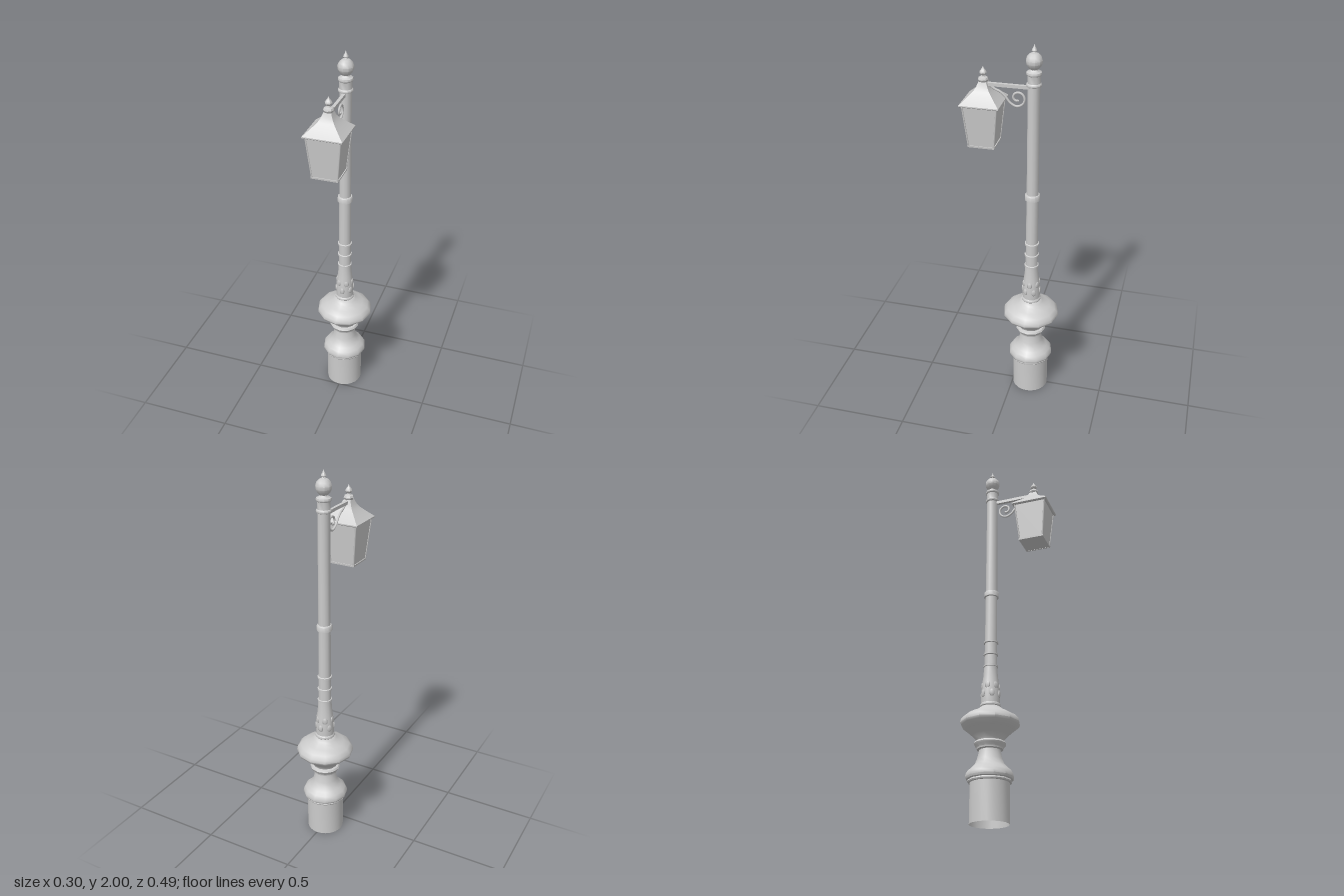
import * as THREE from 'three';
import { toCreasedNormals } from 'three/addons/utils/BufferGeometryUtils.js';

const POST_Z = -0.097;
const LAMP_Z = 0.148;

export function createModel() {
  const model = new THREE.Group();
  model.name = 'streetLamp';
  const grey = new THREE.MeshStandardMaterial({ color: 0xcccccc });
  const openGrey = new THREE.MeshStandardMaterial({ color: 0xcccccc, side: THREE.DoubleSide });

  function add(parent, name, geometry, x = 0, y = 0, z = 0) {
    const mesh = new THREE.Mesh(geometry, grey);
    mesh.name = name;
    mesh.position.set(x, y, z);
    parent.add(mesh);
    return mesh;
  }

  // Turned part from [radius, height] pairs, bottom to top; its ends may be open
  function turned(parent, name, profile, sides = 12) {
    const points = profile.map(([r, y]) => new THREE.Vector2(r, y));
    const mesh = add(parent, name, toCreasedNormals(new THREE.LatheGeometry(points, sides), 0.7));
    mesh.material = openGrey;
    return mesh;
  }

  // Square part from [half width, height] pairs, bottom to top
  function square(parent, name, profile) {
    const points = profile.map(([h, y]) => new THREE.Vector2(h * Math.SQRT2, y));
    const mesh = add(parent, name,
      toCreasedNormals(new THREE.LatheGeometry(points, 4, Math.PI / 4), 0.3));
    mesh.material = openGrey;
    return mesh;
  }

  // Post
  const post = new THREE.Group();
  post.name = 'post';
  post.position.z = POST_Z;
  model.add(post);

  turned(post, 'baseDrum', [[0.097, 0], [0.097, 0.2]], 24);
  turned(post, 'lowerPedestal', [
    [0.095, 0.195], [0.107, 0.197], [0.11, 0.203], [0.107, 0.21], [0.116, 0.213],
    [0.12, 0.223], [0.118, 0.238], [0.108, 0.254], [0.09, 0.27], [0.074, 0.288],
    [0.064, 0.312], [0.056, 0.345], [0.054, 0.36],
  ]);
  turned(post, 'waistMoulding', [
    [0.054, 0.358], [0.066, 0.362], [0.067, 0.37], [0.077, 0.382],
    [0.081, 0.391], [0.076, 0.4], [0.064, 0.403],
  ]);
  turned(post, 'upperBulb', [
    [0.064, 0.4], [0.068, 0.412], [0.088, 0.433], [0.118, 0.46], [0.145, 0.482],
    [0.151, 0.494], [0.147, 0.511], [0.131, 0.529], [0.102, 0.546],
    [0.075, 0.559], [0.062, 0.57], [0.05, 0.58], [0.04, 0.582],
  ]);
  turned(post, 'shaftFoot', [
    [0.046, 0.578], [0.052, 0.584], [0.052, 0.593], [0.047, 0.599], [0.048, 0.64],
    [0.046, 0.68], [0.042, 0.71], [0.037, 0.75], [0.034, 0.8],
  ]);
  turned(post, 'shaft', [[0.033, 0.79], [0.032, 0.94], [0.031, 1.2], [0.03, 1.83]]);

  // Collars
  for (const y of [0.8, 0.865, 0.933]) {
    turned(post, 'shaftRing', [
      [0.031, y - 0.007], [0.038, y - 0.004], [0.038, y + 0.004], [0.031, y + 0.007],
    ]);
  }
  turned(post, 'middleSleeve', [
    [0.03, 1.194], [0.039, 1.196], [0.039, 1.222], [0.036, 1.226], [0.03, 1.227],
  ]);

  // Leaf ornament around the shaft foot, two staggered rows
  for (let row = 0; row < 2; row++) {
    for (let i = 0; i < 6; i++) {
      const a = (i + row * 0.5) * Math.PI / 3;
      const r = 0.047 - row * 0.004;
      const leaf = add(post, 'leaf', new THREE.SphereGeometry(1, 6, 5),
        Math.sin(a) * r, 0.645 + row * 0.043, Math.cos(a) * r);
      leaf.scale.set(0.014, 0.02, 0.005);
      leaf.rotation.y = a;
    }
  }

  // Post head
  turned(post, 'capital', [
    [0.03, 1.795], [0.036, 1.798], [0.038, 1.805], [0.036, 1.811], [0.032, 1.814],
    [0.032, 1.85], [0.036, 1.853], [0.038, 1.86], [0.036, 1.867], [0.028, 1.871],
    [0.02, 1.877], [0.018, 1.885],
  ]);
  turned(post, 'ballFinial', [
    [0.018, 1.879], [0.03, 1.891], [0.039, 1.908], [0.04, 1.923], [0.034, 1.941],
    [0.021, 1.954], [0.01, 1.958], [0.008, 1.963], [0.013, 1.968], [0.011, 1.975],
    [0.005, 1.985], [0, 2],
  ], 10);

  // Bracket arm
  const bracket = new THREE.Group();
  bracket.name = 'bracket';
  model.add(bracket);
  const armLength = LAMP_Z - POST_Z - 0.01;
  add(bracket, 'arm', new THREE.BoxGeometry(0.016, 0.016, armLength),
    0, 1.788, (LAMP_Z + POST_Z) / 2);

  // Scroll: a sweep under the arm that winds into a spiral
  const path = [[0.115, 1.782], [0.092, 1.766], [0.066, 1.755], [0.04, 1.732], [0.018, 1.704]]
    .map(([z, y]) => new THREE.Vector3(0, y, z));
  for (let i = 0; i <= 16; i++) {
    const a = -Math.PI / 2 - 0.2 + i * 0.43;
    const r = 0.042 * (1 - i / 22);
    path.push(new THREE.Vector3(0, 1.73 + Math.sin(a) * r, -0.018 - Math.cos(a) * r));
  }
  add(bracket, 'scroll',
    new THREE.TubeGeometry(new THREE.CatmullRomCurve3(path), 80, 0.006, 6)).material = openGrey;

  // Lantern
  const lantern = new THREE.Group();
  lantern.name = 'lantern';
  lantern.position.z = LAMP_Z;
  model.add(lantern);

  square(lantern, 'glassBody', [[0, 1.483], [0.063, 1.483], [0.084, 1.698]]);
  square(lantern, 'bottomRim', [[0.06, 1.48], [0.067, 1.48], [0.068, 1.489], [0.06, 1.489]]);
  square(lantern, 'roof', [
    [0, 1.694], [0.092, 1.694], [0.097, 1.698], [0.097, 1.704], [0.092, 1.708],
    [0.062, 1.736], [0.04, 1.758], [0.028, 1.777], [0.019, 1.8], [0, 1.801],
  ]);
  turned(lantern, 'lanternFinial', [
    [0.014, 1.795], [0.022, 1.8], [0.026, 1.81], [0.022, 1.819], [0.011, 1.824],
    [0.009, 1.83], [0.017, 1.838], [0.018, 1.845], [0.013, 1.853], [0.005, 1.863], [0, 1.875],
  ], 8);

  // Corner bars of the lantern frame
  for (const sx of [-1, 1]) {
    for (const sz of [-1, 1]) {
      const low = new THREE.Vector3(sx * 0.063, 1.483, sz * 0.063);
      const high = new THREE.Vector3(sx * 0.084, 1.698, sz * 0.084);
      add(lantern, 'cornerBar',
        new THREE.TubeGeometry(new THREE.LineCurve3(low, high), 1, 0.004, 6));
    }
  }

  return model;
}
